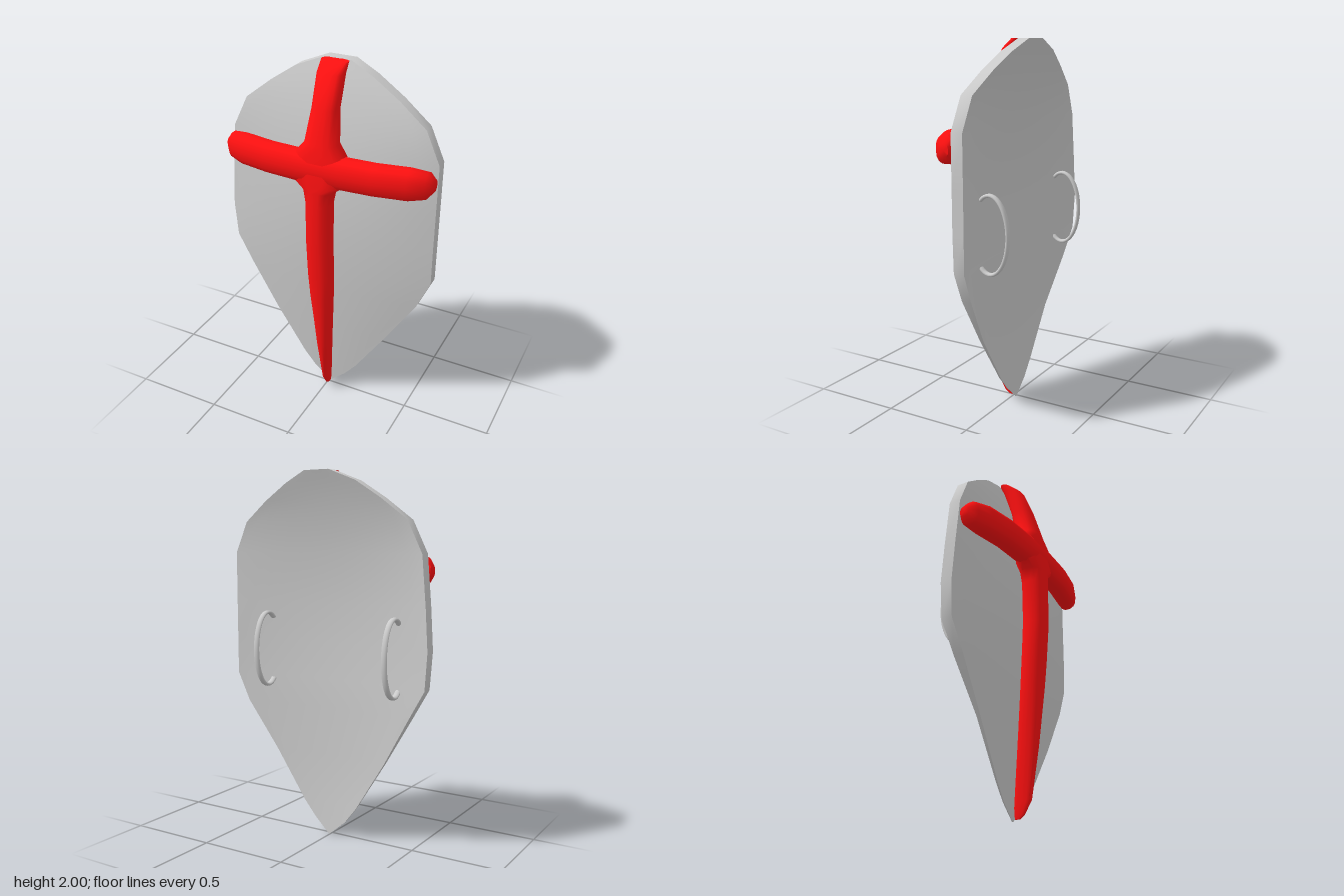
import * as THREE from 'three';
import { toCreasedNormals } from 'three/addons/utils/BufferGeometryUtils.js';

// Skin a list of closed rings (equal point counts) and cap both ends
function loft(rings, crease) {
  const n = rings[0].length, pos = [], idx = [];
  rings.forEach(r => r.forEach(p => pos.push(...p)));
  for (let i = 0; i < rings.length - 1; i++) {
    for (let j = 0; j < n; j++) {
      const a = i * n + j, b = i * n + (j + 1) % n;
      idx.push(a, b, b + n, a, b + n, a + n);
    }
  }
  [0, rings.length - 1].forEach((i, end) => {
    const c = pos.length / 3;
    pos.push(...[0, 1, 2].map(k => rings[i].reduce((s, p) => s + p[k], 0) / n));
    for (let j = 0; j < n; j++) {
      const a = i * n + j, b = i * n + (j + 1) % n;
      if (end) idx.push(c, a, b); else idx.push(c, b, a);
    }
  });
  const g = new THREE.BufferGeometry();
  g.setAttribute('position', new THREE.Float32BufferAttribute(pos, 3));
  g.setIndex(idx);
  return toCreasedNormals(g, crease);
}

// Softly squared unit section, as [cos, sin] pairs
const SECTION = Array.from({ length: 14 }, (_, i) => {
  const a = i / 14 * Math.PI * 2;
  const soft = v => Math.sign(v) * Math.abs(v) ** 0.8;
  return [soft(Math.cos(a)), soft(Math.sin(a))];
});

export function createModel() {
  const group = new THREE.Group();
  const grey = new THREE.MeshStandardMaterial({ color: 0xcccccc });
  const red = new THREE.MeshStandardMaterial({ color: 0xff1010 });
  const add = (name, geometry, material) => {
    const mesh = new THREE.Mesh(geometry, material);
    mesh.name = name;
    group.add(mesh);
    return mesh;
  };

  // Curved plate: y, left x, right x, centre z, sideways curvature, thickness
  const rows = [
    [0, 0.006, 0.014, -0.018, 0, 0.002],
    [0.08, -0.09, 0.1, -0.008, 0.3, 0.006],
    [0.17, -0.16, 0.175, 0.002, 0.3, 0.01],
    [0.45, -0.335, 0.36, 0.032, 0.26, 0.022],
    [0.72, -0.495, 0.53, 0.055, 0.22, 0.055],
    [0.88, -0.59, 0.6, 0.066, 0.21, 0.06],
    [1.08, -0.605, 0.6, 0.074, 0.22, 0.065],
    [1.3, -0.59, 0.6, 0.07, 0.21, 0.065],
    [1.57, -0.565, 0.6, 0.045, 0.14, 0.065],
    [1.74, -0.485, 0.52, 0.01, 0.08, 0.065],
    [1.85, -0.345, 0.37, -0.02, 0.1, 0.065],
    [1.94, -0.21, 0.22, -0.05, 0.1, 0.065],
    [2, -0.06, 0.09, -0.075, 0, 0.063],
  ];
  const COLS = 14;
  const plateRings = rows.map(([y, left, right, zc, k, t]) => {
    const front = Array.from({ length: COLS + 1 }, (_, i) => {
      const x = left + (right - left) * i / COLS;
      return [x, y, zc - k * x * x];
    });
    return [...front, ...front.map(([x, , z]) => [x, y, z - t]).reverse()];
  });
  add('shieldPlate', loft(plateRings, 0.7), grey);

  // Upright of the cross: y, half width, back z, front z
  const upright = [
    [0.01, 0.004, -0.005, 0.025],
    [0.03, 0.007, -0.01, 0.05],
    [0.1, 0.014, -0.01, 0.09],
    [0.37, 0.037, 0.01, 0.13],
    [0.7, 0.062, 0.04, 0.163],
    [0.85, 0.069, 0.05, 0.175],
    [1.05, 0.07, 0.06, 0.19],
    [1.3, 0.071, 0.055, 0.192],
    [1.37, 0.085, 0.05, 0.19],
    [1.41, 0.14, 0.045, 0.188],
    [1.56, 0.14, 0.035, 0.175],
    [1.62, 0.09, 0.025, 0.162],
    [1.79, 0.07, -0.01, 0.11],
    [1.95, 0.073, -0.06, 0.045],
    [2, 0.075, -0.08, -0.015],
  ];
  add('crossUpright', loft(upright.map(([y, w, back, front]) =>
    SECTION.map(([c, s]) =>
      [0.013 + w * c, y, (front + back) / 2 - s * (front - back) / 2])), 0.9), red);

  // Arms of the cross: distance from centre, half height, back z, front z
  const arm = [
    [0.588, 0.03, 0.01, 0.065],
    [0.555, 0.07, -0.005, 0.105],
    [0.47, 0.085, 0.01, 0.14],
    [0.3, 0.085, 0.04, 0.172],
    [0.12, 0.086, 0.05, 0.183],
  ];
  const armStations = [
    ...arm.map(([d, ...rest]) => [-d, ...rest]),
    ...arm.slice().reverse(),
  ];
  add('crossArms', loft(armStations.map(([x, h, back, front]) =>
    SECTION.map(([c, s]) =>
      [0.0125 + x, 1.483 + h * s, (front + back) / 2 - c * (front - back) / 2])), 0.9), red);

  // Two grip loops behind the plate
  const arc = Array.from({ length: 17 }, (_, i) => {
    const a = (i / 16 * 2 - 1) * (Math.PI / 2 + 0.55);
    return new THREE.Vector3(0, 0.205 * Math.sin(a), -0.105 * Math.cos(a));
  });
  const gripGeometry = new THREE.TubeGeometry(new THREE.CatmullRomCurve3(arc), 40, 0.01, 10);
  gripGeometry.scale(1.7, 1, 1);
  for (const [name, x] of [['rightGrip', -0.42], ['leftGrip', 0.38]]) {
    add(name, gripGeometry, grey).position.set(x, 1.035, -0.08);
  }

  return group;
}
